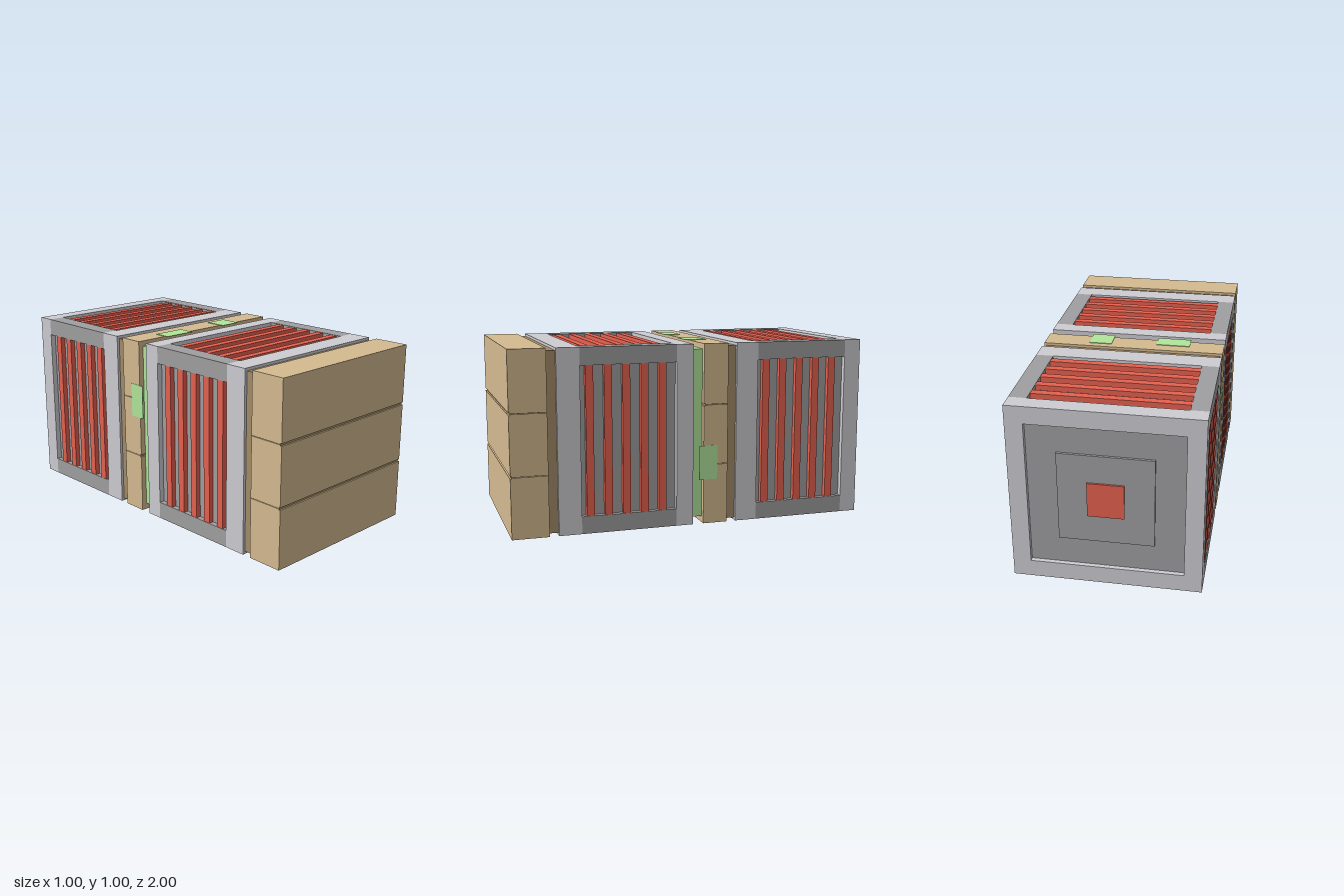
import * as THREE from 'three';

const mat = (name, color) => {
  const m = new THREE.MeshStandardMaterial({ color });
  m.name = name;
  return m;
};

export function createModel() {
  const wood = mat('wood', 0xd4ba90);
  const darkWood = mat('darkWood', 0xa38b68);
  const lightGrey = mat('lightGrey', 0xcdccd2);
  const darkGrey = mat('darkGrey', 0x9f9fa1);
  const red = mat('red', 0xe56150);
  const green = mat('green', 0xb0e69b);

  const model = new THREE.Group();
  model.name = 'crateMachine';

  // box given by its min and max on each axis
  const box = (parent, name, material, [x0, x1], [y0, y1], [z0, z1]) => {
    const mesh = new THREE.Mesh(new THREE.BoxGeometry(x1 - x0, y1 - y0, z1 - z0), material);
    mesh.position.set((x0 + x1) / 2, (y0 + y1) / 2, (z0 + z1) / 2);
    mesh.name = name;
    parent.add(mesh);
  };
  const full = [-0.5, 0.5];

  // square ring, open in the middle
  const ring = (parent, name, z0, z1) => {
    const s = new THREE.Shape([[-0.5, 0], [0.5, 0], [0.5, 1], [-0.5, 1]].map(p => new THREE.Vector2(...p)));
    s.holes.push(new THREE.Path([[-0.405, 0.095], [-0.405, 0.905], [0.405, 0.905], [0.405, 0.095]]
      .map(p => new THREE.Vector2(...p))));
    const mesh = new THREE.Mesh(new THREE.ExtrudeGeometry(s, { depth: z1 - z0, bevelEnabled: false }), lightGrey);
    mesh.position.z = z0;
    mesh.name = name;
    parent.add(mesh);
  };

  // cage with end rings, edge bars, recessed core and nearly flush red fins on four sides
  const cage = (name, z) => {
    const g = new THREE.Group();
    g.name = name;
    g.position.z = z;
    ring(g, 'backRing', 0, 0.095);
    ring(g, 'frontRing', 0.625, 0.75);
    box(g, 'core', darkGrey, [-0.47, 0.47], [0.03, 0.97], [0.095, 0.625]);
    for (const x of [-0.5, 0.405])
      for (const y of [0, 0.905])
        box(g, 'edgeBar', darkGrey, [x, x + 0.095], [y, y + 0.095], [0.095, 0.625]);
    for (let side = 0; side < 4; side++) {
      const fins = new THREE.Group();
      fins.name = 'finRow';
      fins.position.y = 0.5;
      fins.rotation.z = side * Math.PI / 2;
      for (let i = 0; i < 5; i++) {
        const c = 0.175 + i * 0.1;
        box(fins, 'fin', red, [-0.405, 0.405], [0.43, 0.498], [c - 0.021, c + 0.021]);
      }
      g.add(fins);
    }
    // stepped plates closing both ends
    box(g, 'backPanel', darkGrey, [-0.405, 0.405], [0.095, 0.905], [0.025, 0.1]);
    box(g, 'backPlate', darkGrey, [-0.25, 0.25], [0.25, 0.75], [0.012, 0.03]);
    box(g, 'backButton', red, [-0.096, 0.096], [0.404, 0.596], [0.002, 0.02]);
    box(g, 'frontPanel', darkGrey, [-0.405, 0.405], [0.095, 0.905], [0.62, 0.74]);
    model.add(g);
  };
  cage('frontCage', 0);
  cage('backCage', -1);

  // three planks with hairline seams and shallow front grooves, on an inset backing
  const planks = (name, z0, z1) => {
    const g = new THREE.Group();
    g.name = name;
    box(g, 'backing', darkWood, [-0.485, 0.485], [0.015, 0.985], [z0 - 0.05, z1 - 0.02]);
    for (let i = 0; i < 3; i++) {
      const span = inset => [i / 3 + (i > 0 ? inset : 0), (i + 1) / 3 - (i < 2 ? inset : 0)];
      box(g, 'plank', wood, full, span(0.0015), [z0, z1 - 0.01]);
      box(g, 'plankFace', wood, full, span(0.007), [z1 - 0.01, z1]);
    }
    for (const y of [1 / 3, 2 / 3])
      box(g, 'groove', darkWood, full, [y - 0.007, y + 0.007], [z1 - 0.01, z1 - 0.008]);
    model.add(g);
  };
  planks('frontPlanks', 0.8, 1);
  planks('middlePlanks', -0.2, -0.06);

  // green filling and patches around the middle planks
  box(model, 'filling', green, [-0.47, 0.47], [0.035, 0.97], [-0.06, 0]);
  box(model, 'topPatch', green, [-0.31, -0.125], [1, 1.003], [-0.13, -0.035]);
  box(model, 'topPatch', green, [0.125, 0.25], [1, 1.003], [-0.16, -0.035]);
  box(model, 'leftPatch', green, [0.5, 0.502], [0.25, 0.44], [-0.14, -0.035]);
  box(model, 'rightPatch', green, [-0.502, -0.5], [0.56, 0.75], [-0.13, -0.035]);

  return model;
}
